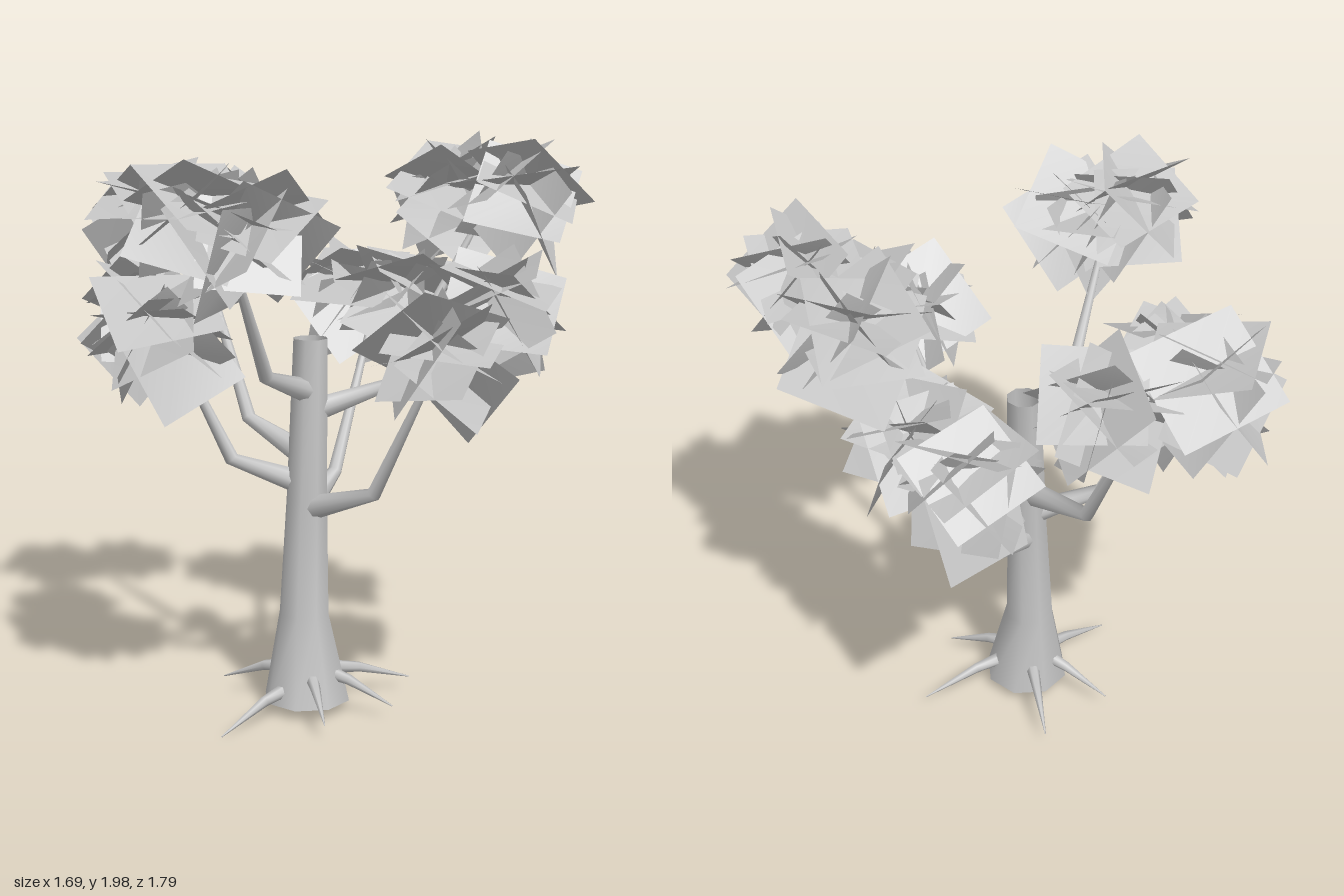
import * as THREE from 'three';
import { mergeGeometries } from 'three/addons/utils/BufferGeometryUtils.js';

// Seeded random numbers in 0..1
function seeded(seed) {
  let s = seed;
  return () => {
    s = (s * 16807) % 2147483647;
    return s / 2147483647;
  };
}

// Tapered open limb: rings of vertices swept along points [x, y, z, radius].
// With an axis given, every ring lies square to it.
function limbGeometry(points, sides, axis) {
  const centres = points.map((p) => new THREE.Vector3(p[0], p[1], p[2]));
  const last = points.length - 1;
  const positions = [];
  const index = [];
  points.forEach((p, i) => {
    const tangent = axis
      || centres[Math.min(i + 1, last)].clone().sub(centres[Math.max(i - 1, 0)]).normalize();
    const helper = Math.abs(tangent.y) > 0.95 ? new THREE.Vector3(0, 0, 1) : new THREE.Vector3(0, 1, 0);
    const u = new THREE.Vector3().crossVectors(helper, tangent).normalize();
    const v = new THREE.Vector3().crossVectors(tangent, u);
    for (let k = 0; k < sides; k++) {
      const a = (k / sides) * Math.PI * 2;
      const q = centres[i].clone()
        .addScaledVector(u, Math.cos(a) * p[3])
        .addScaledVector(v, Math.sin(a) * p[3]);
      positions.push(q.x, q.y, q.z);
      if (i < last) {
        const a0 = i * sides + k;
        const a1 = i * sides + ((k + 1) % sides);
        index.push(a0, a1, a1 + sides, a0, a1 + sides, a0 + sides);
      }
    }
  });
  const g = new THREE.BufferGeometry();
  g.setAttribute('position', new THREE.Float32BufferAttribute(positions, 3));
  g.setIndex(index);
  g.computeVertexNormals();
  return g;
}

// Cluster of large square leaf sheets, stacked and tilted to every side,
// each folded a little along its diagonal
function clusterGeometry(random, count, size) {
  const sheets = [];
  const turn = random() * Math.PI * 2;
  for (let i = 0; i < count; i++) {
    const side = size * (0.94 + random() * 0.12);
    const g = new THREE.PlaneGeometry(side, side);
    const fold = random() * 0.06;
    g.attributes.position.setZ(1, -fold);
    g.attributes.position.setZ(2, -fold);
    g.computeVertexNormals();
    // The upper sheets lie flatter, the lower ones hang more steeply
    const t = i / (count - 1);
    const h = 0.96 - 0.56 * t;
    const a = turn + i * 2.4 + random() * 0.4;
    const r = Math.sqrt(1 - h * h);
    const normal = new THREE.Vector3(Math.cos(a) * r, h, Math.sin(a) * r);
    g.rotateZ(random() * Math.PI);
    g.applyQuaternion(new THREE.Quaternion().setFromUnitVectors(new THREE.Vector3(0, 0, 1), normal));
    g.translate(
      normal.x * 0.07 + (random() - 0.5) * 0.05,
      0.09 - 0.14 * t + (random() - 0.5) * 0.08,
      normal.z * 0.07 + (random() - 0.5) * 0.05,
    );
    sheets.push(g);
  }
  return mergeGeometries(sheets);
}

export function createModel() {
  const tree = new THREE.Group();
  tree.name = 'tree';
  const grey = new THREE.MeshStandardMaterial({ color: 0xc4c4c4, side: THREE.DoubleSide });
  grey.name = 'pale grey';

  const add = (name, geometry) => {
    const mesh = new THREE.Mesh(geometry, grey);
    mesh.name = name;
    tree.add(mesh);
    return mesh;
  };

  // Trunk, open at both ends, flared at the foot and leaning slightly
  add('trunk', limbGeometry([
    [-0.08, 0.035, 0.05, 0.152],
    [-0.08, 0.34, 0.03, 0.088],
    [-0.07, 0.75, 0.033, 0.072],
    [-0.045, 1.3, 0.015, 0.06],
  ], 8, new THREE.Vector3(0, 1, 0)));

  // Branches: base, elbow and tip
  const branches = [
    [[-0.08, 0.8, 0.02], [-0.3, 0.89, -0.08], [-0.5, 1.36, -0.18]],
    [[-0.06, 1.12, 0.03], [-0.27, 1.2, 0.12], [-0.52, 1.74, 0.3]],
    [[-0.07, 0.9, 0], [-0.13, 0.98, -0.28], [-0.19, 1.62, -0.58]],
    [[-0.07, 0.72, 0.06], [0.03, 0.81, 0.31], [0.14, 1.35, 0.57]],
    [[-0.05, 0.71, 0.01], [0.13, 0.79, -0.12], [0.4, 1.38, -0.28]],
    [[-0.05, 1.05, 0.03], [0.23, 1.13, 0.09], [0.57, 1.76, 0.18]],
  ];
  const branchRadii = [0.043, 0.025, 0.008];
  branches.forEach((path, i) => {
    add('branch' + (i + 1), limbGeometry(path.map((p, k) => [...p, branchRadii[k]]), 8));
  });

  // Roots: thin spikes arching from the foot down to the ground
  const rootTips = [
    [-0.47, 0, 0.16], [0.33, 0.04, 0.07], [-0.18, 0.05, 0.35],
    [0.11, 0.05, 0.31], [0.03, 0.05, -0.31], [-0.26, 0.05, -0.24],
  ];
  rootTips.forEach(([x, y, z], i) => {
    const at = (t, height, radius) => [-0.08 + (x + 0.08) * t, height, 0.045 + (z - 0.045) * t, radius];
    add('root' + (i + 1), limbGeometry([
      at(0.2, y + 0.09, 0.026), at(0.5, y + 0.07, 0.018), at(1, y, 0.002),
    ], 6));
  });

  // Foliage clusters around the crown
  const clusters = [
    [-0.32, 1.68, -0.65], [0.0, 1.64, -0.59],
    [0.38, 1.36, -0.4], [0.43, 1.39, -0.15],
    [0.55, 1.77, -0.03], [0.59, 1.78, 0.32],
    [0.06, 1.34, 0.65], [0.29, 1.43, 0.61],
    [-0.6, 1.74, 0.3], [-0.46, 1.69, 0.39],
    [-0.57, 1.36, -0.05], [-0.5, 1.36, -0.32],
  ];
  const random = seeded(4217);
  clusters.forEach((p, i) => {
    add('leafCluster' + (i + 1), clusterGeometry(random, 8, 0.34)).position.set(...p);
  });

  return tree;
}
